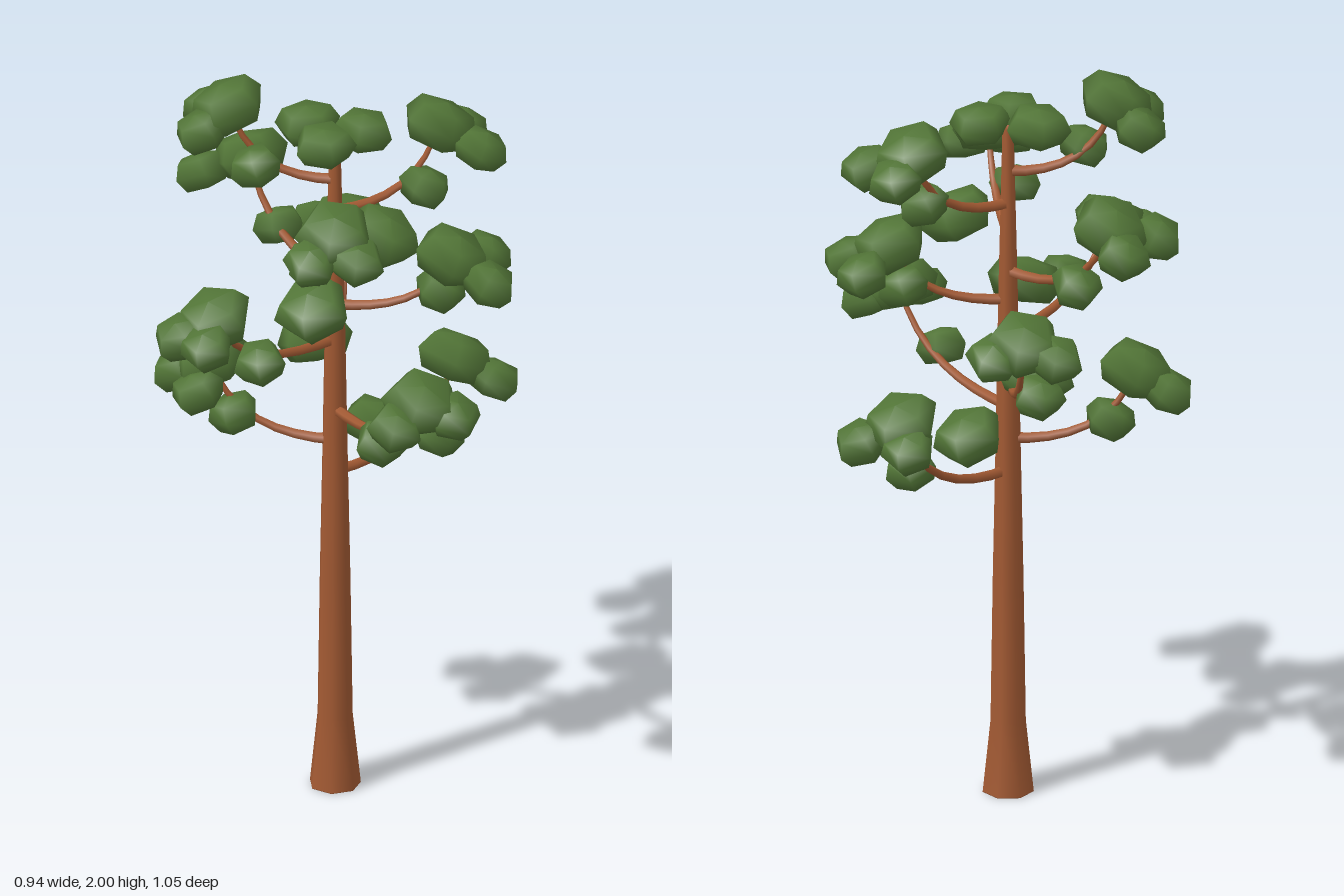
import * as THREE from 'three';

const bark = new THREE.MeshStandardMaterial({ color: 0xa35a33 });
bark.name = 'bark';
const foliage = new THREE.MeshStandardMaterial({ color: 0x527537 });
foliage.name = 'foliage';

const lathe = (pts, sides) =>
  new THREE.LatheGeometry(pts.map(([r, y]) => new THREE.Vector2(r, y)), sides);

// Five-sided leaf pad, wide and low
const padGeometry = lathe([[0, -0.54], [0.74, -0.46], [1, -0.02], [0.74, 0.42], [0, 0.54]], 5);

// Each branch: start height, then end, inner pad and two side pads as [x, y, z]
const branches = [
  [0.90, [0.305, 1.135, -0.20], [0.265, 0.96, -0.09], [0.41, 1.08, -0.18], [0.30, 1.09, -0.28]],
  [0.99, [-0.33, 1.19, -0.06], [-0.265, 1.045, -0.04], [-0.41, 1.14, -0.10], [-0.36, 1.14, 0.03]],
  [1.08, [0.225, 1.28, 0.38], [0.12, 1.13, 0.31], [0.31, 1.245, 0.385], [0.16, 1.24, 0.45]],
  [1.17, [0.02, 1.43, -0.415], [-0.04, 1.23, -0.30], [0.10, 1.40, -0.43], [-0.06, 1.40, -0.46]],
  [1.28, [-0.31, 1.47, 0.28], [-0.195, 1.335, 0.26], [-0.40, 1.43, 0.31], [-0.33, 1.43, 0.37]],
  [1.38, [0.30, 1.54, 0.04], [0.27, 1.43, 0.02], [0.40, 1.485, 0.095], [0.385, 1.50, -0.06]],
  [1.46, [-0.23, 1.68, -0.27], [-0.15, 1.50, -0.22], [-0.355, 1.64, -0.25], [-0.25, 1.64, -0.37]],
  [1.57, [0.00, 1.735, 0.315], [-0.06, 1.61, 0.23], [-0.06, 1.68, 0.38], [0.06, 1.68, 0.37]],
  [1.65, [0.265, 1.85, -0.105], [0.23, 1.69, -0.06], [0.375, 1.80, -0.06], [0.32, 1.81, -0.18]],
  [1.74, [-0.28, 1.935, -0.03], [-0.21, 1.79, 0.03], [-0.35, 1.89, 0.03], [-0.33, 1.89, -0.12]],
];

// Pads around the stem and at the crown: [x, y, z, radius]
const stemPads = [
  [0.105, 1.02, -0.04, 0.10], [-0.06, 1.22, -0.12, 0.105], [-0.06, 1.40, 0.08, 0.105],
  [0.12, 1.605, 0.06, 0.105],
  [-0.075, 1.88, -0.04, 0.09], [0.07, 1.88, 0, 0.085], [-0.03, 1.875, 0.08, 0.085],
];

let padCount = 0;
function leafPad(name, x, y, z, radius, height, tilt) {
  const pad = new THREE.Mesh(padGeometry, foliage);
  pad.name = name;
  pad.position.set(x, y, z);
  pad.scale.set(radius, height, radius);
  // Lean the pad away from the stem, after a varying turn about its own axis
  const axis = new THREE.Vector3(z, 0, -x).normalize();
  pad.quaternion.setFromAxisAngle(axis, tilt)
    .multiply(new THREE.Quaternion().setFromAxisAngle(new THREE.Vector3(0, 1, 0), padCount++ * 1.7));
  return pad;
}

// Tube that narrows towards its tip
function taperedTube(curve, r0, r1, steps, sides) {
  const g = new THREE.TubeGeometry(curve, steps, 1, sides, false);
  const p = g.attributes.position;
  const v = new THREE.Vector3();
  for (let i = 0; i < p.count; i++) {
    const t = Math.floor(i / (sides + 1)) / steps;
    const c = curve.getPointAt(t);
    v.fromBufferAttribute(p, i).sub(c).multiplyScalar(r0 + (r1 - r0) * t).add(c);
    p.setXYZ(i, v.x, v.y, v.z);
  }
  return g;
}

export function createModel() {
  const tree = new THREE.Group();
  tree.name = 'tree';

  // Trunk with flared foot
  const trunk = new THREE.Mesh(lathe([[0, 0], [0.068, 0], [0.068, 0.002], [0.047, 0.2], [0.041, 0.6],
    [0.033, 1.0], [0.026, 1.4], [0.015, 1.86], [0, 1.87]], 7), bark);
  trunk.name = 'trunk';
  trunk.position.set(-0.004, 0, 0.004);
  trunk.rotation.y = Math.PI / 4;
  tree.add(trunk);

  // Upswept branches with their leaf pads
  branches.forEach(([h, end, inner, sideA, sideB], i) => {
    const branch = new THREE.Group();
    branch.name = 'branch' + (i + 1);
    const [ex, ey, ez] = end;
    const curve = new THREE.QuadraticBezierCurve3(
      new THREE.Vector3(-0.004, h, 0.004),
      new THREE.Vector3(ex * 0.8, h - 0.01, ez * 0.8),
      new THREE.Vector3(ex, ey, ez));
    const limb = new THREE.Mesh(taperedTube(curve, 0.016, 0.006, 8, 6), bark);
    limb.name = 'limb';
    branch.add(limb,
      leafPad('endPad', ...end, 0.106, 0.112, 0.42),
      leafPad('innerPad', ...inner, 0.072, 0.088, 0.35),
      leafPad('sidePad', ...sideA, 0.076, 0.088, 0.42),
      leafPad('sidePad', ...sideB, 0.076, 0.088, 0.42));
    tree.add(branch);
  });

  // Pads close to the stem
  stemPads.forEach(([x, y, z, r], i) => tree.add(i < 4
    ? leafPad('stemPad', x, y, z, r, r * 1.05, 0.42)
    : leafPad('crownPad', x, y, z, r, r, 0.1)));

  return tree;
}
